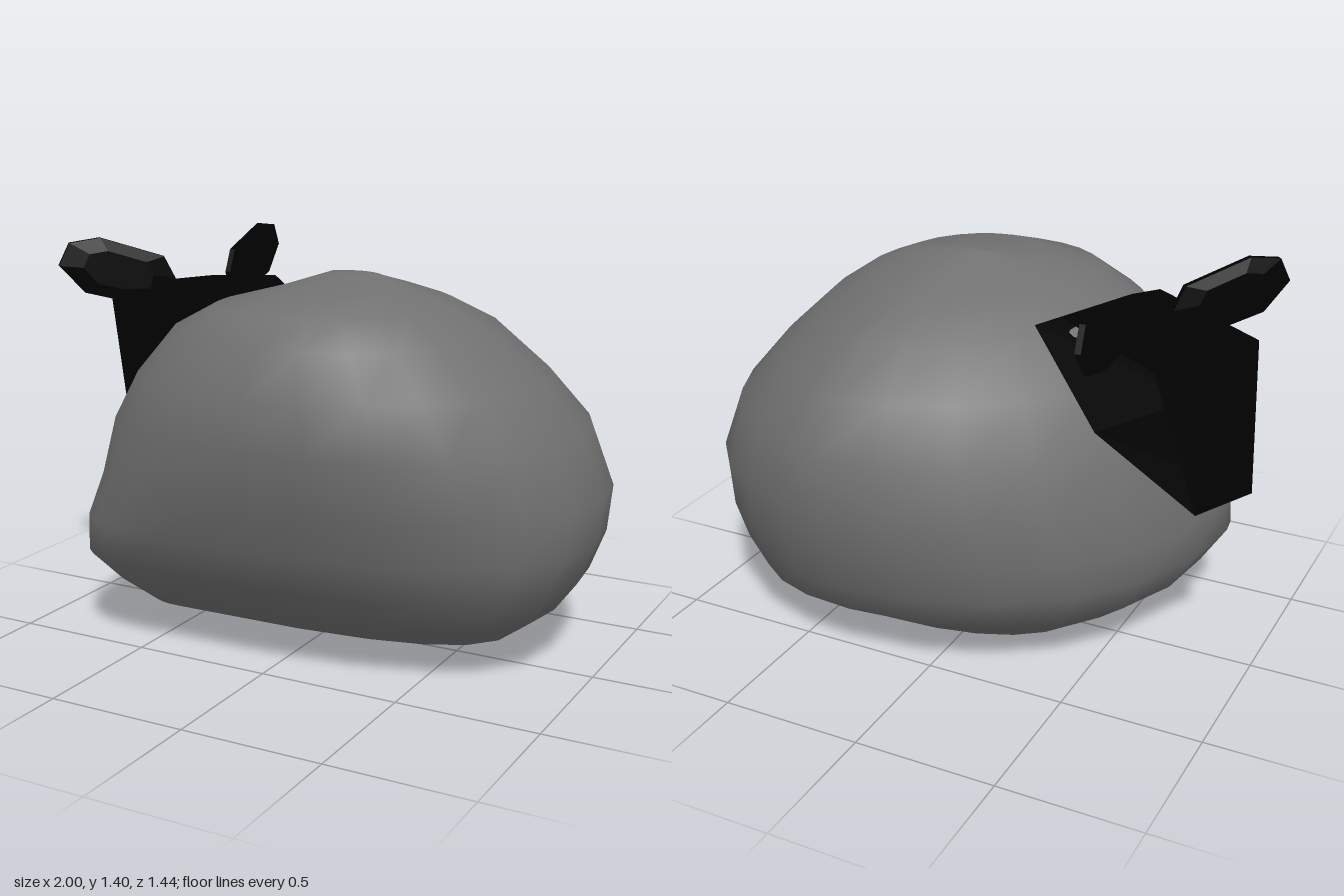
import * as THREE from 'three';
import { ConvexGeometry } from 'three/addons/geometries/ConvexGeometry.js';

// Closed smooth stone lofted through level outlines. Each level gives its height and
// its four extreme points: [y, xMax, z there, zMax, x there, xMin, z there, zMin, x there]
const LEVELS = [
  [0.01, 0.40, -0.15, -0.03, 0.10, -0.20, -0.10, -0.25, 0.20],
  [0.04, 0.60, -0.13, 0.10, -0.15, -0.37, 0.00, -0.34, 0.25],
  [0.11, 0.72, -0.07, 0.33, -0.45, -0.58, 0.26, -0.44, 0.27],
  [0.20, 0.84, -0.04, 0.42, -0.50, -0.70, 0.30, -0.58, 0.27],
  [0.32, 0.93, 0.00, 0.55, -0.46, -0.78, 0.34, -0.64, 0.27],
  [0.46, 0.985, -0.02, 0.61, -0.32, -0.78, 0.30, -0.69, 0.27],
  [0.62, 1.00, -0.05, 0.67, -0.12, -0.73, 0.23, -0.72, 0.28],
  [0.83, 0.935, -0.01, 0.72, 0.00, -0.67, 0.20, -0.72, 0.30],
  [1.00, 0.80, 0.03, 0.70, 0.05, -0.57, 0.21, -0.62, 0.28],
  [1.15, 0.65, 0.08, 0.64, 0.08, -0.43, 0.24, -0.46, 0.25],
  [1.24, 0.52, 0.12, 0.57, 0.10, -0.26, 0.25, -0.26, 0.20],
  [1.29, 0.40, 0.14, 0.42, 0.13, -0.07, 0.19, -0.09, 0.18],
  [1.33, 0.23, 0.09, 0.13, 0.14, 0.05, 0.09, 0.05, 0.14],
];
// Fullness exponent of each quarter (base, gain with height): lower is squarer
const FULLNESS = [[0.60, 0.38], [0.82, 0.08], [0.90, 0.26], [0.74, 0.48]];

function stoneGeometry(perQuarter = 6) {
  const n = perQuarter * 4, pos = [], index = [];
  for (const [y, ...e] of LEVELS) {
    const ext = [[e[0], e[1]], [e[3], e[2]], [e[4], e[5]], [e[7], e[6]]];
    for (let q = 0; q < 4; q++) {
      const a = ext[q], b = ext[(q + 1) % 4];
      const power = FULLNESS[q][0] + FULLNESS[q][1] * y;
      // elliptical quarter, tangent to the axes at both extreme points
      const c = q % 2 ? [a[0], b[1]] : [b[0], a[1]];
      for (let k = 0; k < perQuarter; k++) {
        const t = (k / perQuarter) * Math.PI / 2;
        const u = Math.cos(t) ** power, v = Math.sin(t) ** power;
        pos.push(c[0] + (a[0] - c[0]) * u + (b[0] - c[0]) * v, y,
          c[1] + (a[1] - c[1]) * u + (b[1] - c[1]) * v);
      }
    }
  }
  const top = LEVELS.length - 1, base = pos.length / 3;
  pos.push(0.15, 0, -0.14, 0.14, 1.333, 0.09);
  for (let j = 0; j < n; j++) {
    const k = (j + 1) % n;
    for (let i = 0; i < top; i++) {
      const a = i * n + j, b = i * n + k;
      index.push(a, a + n, b, b, a + n, b + n);
    }
    index.push(base, j, k, base + 1, top * n + k, top * n + j);
  }
  const g = new THREE.BufferGeometry();
  g.setAttribute('position', new THREE.Float32BufferAttribute(pos, 3));
  g.setIndex(index);
  g.computeVertexNormals();
  return g;
}

// Open band: quads joining two matching closed outlines
function bandGeometry(near, far) {
  const pos = [];
  near.forEach((a, i) => {
    const k = (i + 1) % near.length;
    pos.push(...a, ...far[i], ...near[k], ...near[k], ...far[i], ...far[k]);
  });
  const g = new THREE.BufferGeometry();
  g.setAttribute('position', new THREE.Float32BufferAttribute(pos, 3));
  g.computeVertexNormals();
  return g;
}

// Lens-like fin rising outward along its local x axis: sharp rim, thicker middle
function finGeometry() {
  const rim = [[0, 0.09], [0.04, 0.17], [0.27, 0.245], [0.38, 0.23],
    [0.42, 0.15], [0.33, 0.05], [0.18, 0.01], [0.02, 0.01]];
  const points = [];
  for (const [x, y] of rim) {
    for (const [scale, z] of [[1, 0.01], [0.6, 0.028]]) {
      for (const side of [-1, 1]) {
        points.push(new THREE.Vector3(0.21 + (x - 0.21) * scale, 0.13 + (y - 0.13) * scale, side * z));
      }
    }
  }
  return new ConvexGeometry(points);
}

export function createModel() {
  const model = new THREE.Group();
  const stone = new THREE.MeshStandardMaterial({ color: 0x717171 });
  const black = new THREE.MeshStandardMaterial({
    color: 0x010101, flatShading: true, side: THREE.DoubleSide,
  });
  const add = (name, geometry, material) => {
    const mesh = new THREE.Mesh(geometry, material);
    mesh.name = name;
    model.add(mesh);
    return mesh;
  };

  add('stone', stoneGeometry(), stone);

  // Folded band on the shoulder: outer top, fold, inner top, inner bottom, outer bottom
  add('band', bandGeometry(
    [[-0.94, 1.20, 0.01], [-0.53, 1.25, 0.20], [-0.40, 1.19, 0.27], [-0.70, 0.91, 0.12], [-1.00, 0.74, -0.15]],
    [[-0.74, 1.20, -0.40], [-0.35, 1.25, -0.21], [-0.23, 1.19, -0.16], [-0.515, 0.92, -0.31], [-0.89, 0.74, -0.38]],
  ), black);

  // Two fins spreading from the top of the band
  const fin = finGeometry();
  for (const [name, x, z, dx, dz] of [
    ['backFin', -0.55, -0.20, -0.03, -0.41],
    ['frontFin', -0.64, 0.02, -0.30, 0.30],
  ]) {
    const mesh = add(name, fin, black);
    mesh.position.set(x, 1.16, z);
    mesh.rotation.y = Math.atan2(-dz, dx);
  }
  return model;
}
